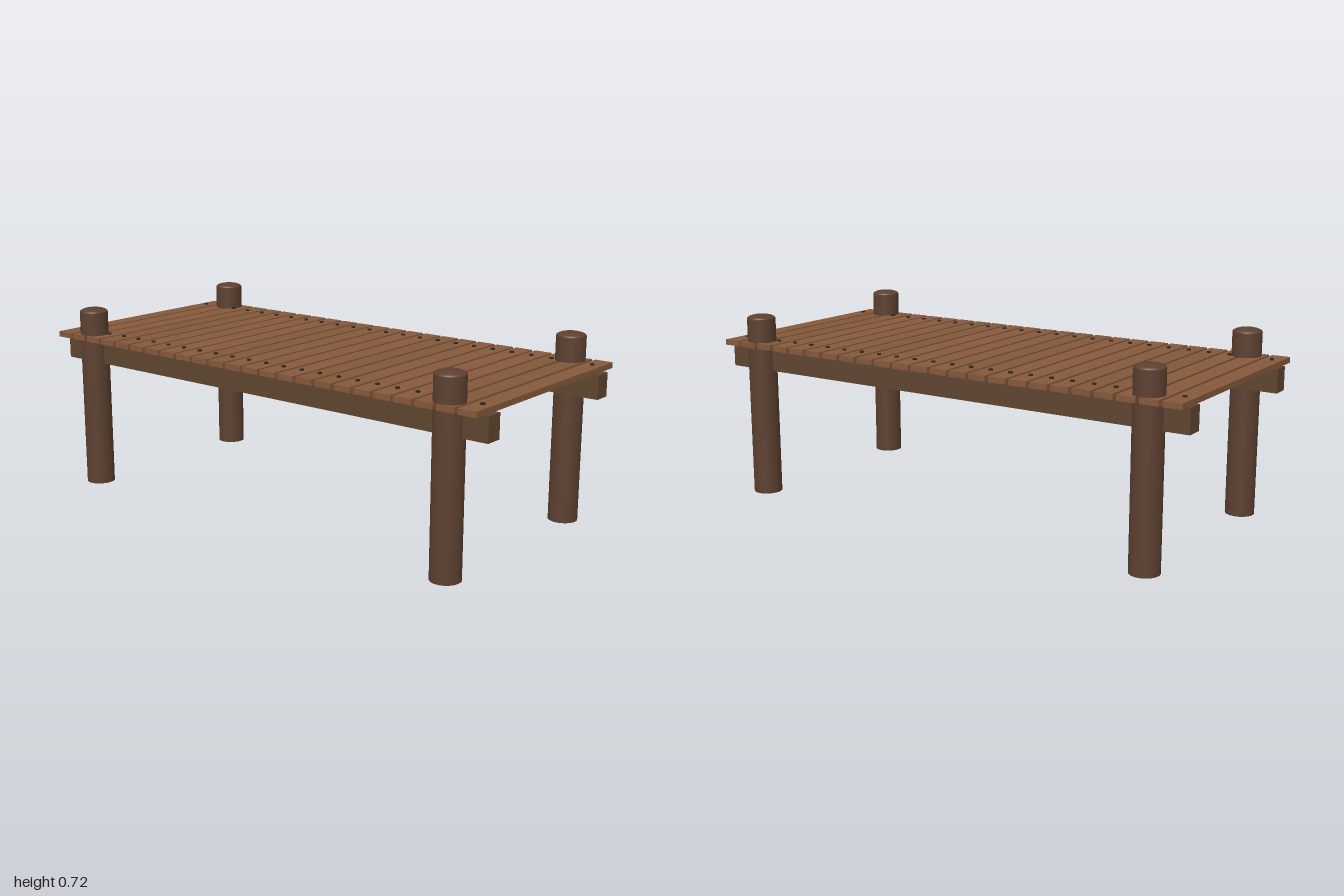
import * as THREE from 'three';

const material = (color) => new THREE.MeshStandardMaterial({ color });

export function createModel() {
  const model = new THREE.Group();
  const postWood = material(0x5c4030);
  const beamWood = material(0x5f4530);
  const plankWoods = [0x85593a, 0x825839, 0x87593b].map(material);
  const iron = material(0x2a2624);

  const add = (name, geometry, mat, x, y, z, parent = model) => {
    const mesh = new THREE.Mesh(geometry, mat);
    mesh.name = name;
    mesh.position.set(x, y, z);
    parent.add(mesh);
    return mesh;
  };

  // Round posts with a shallow domed cap
  const postRadius = 0.055, postHeight = 0.7;
  const shaft = new THREE.CylinderGeometry(postRadius, postRadius, postHeight, 32);
  const dome = new THREE.SphereGeometry(postRadius, 32, 10, 0, Math.PI * 2, 0, Math.PI / 2);
  dome.scale(1, 0.3, 1);
  for (const x of [-0.39, 0.39]) {
    for (const z of [-0.85, 0.85]) {
      const post = new THREE.Group();
      post.name = 'post';
      post.position.set(x, 0, z);
      add('postShaft', shaft, postWood, 0, postHeight / 2, 0, post);
      add('postCap', dome, postWood, 0, postHeight, 0, post);
      model.add(post);
    }
  }

  // Long beams under the deck
  const beam = new THREE.BoxGeometry(0.067, 0.09, 2);
  for (const x of [-0.36, 0.36]) add('beam', beam, beamWood, x, 0.541, 0);

  // Deck planks, each nailed down over both beams
  const count = 24, pitch = 2 / count;
  const plank = new THREE.BoxGeometry(0.898, 0.021, 0.07);
  const nail = new THREE.CylinderGeometry(0.008, 0.008, 0.008, 10);
  for (let i = 0; i < count; i++) {
    const z = -0.962 + i * pitch;
    add('plank', plank, plankWoods[(i * 5 + (i >> 1)) % 3], 0, 0.6, z);
    for (const x of [-0.36, 0.36]) add('nail', nail, iron, x, 0.612, z);
  }

  return model;
}
